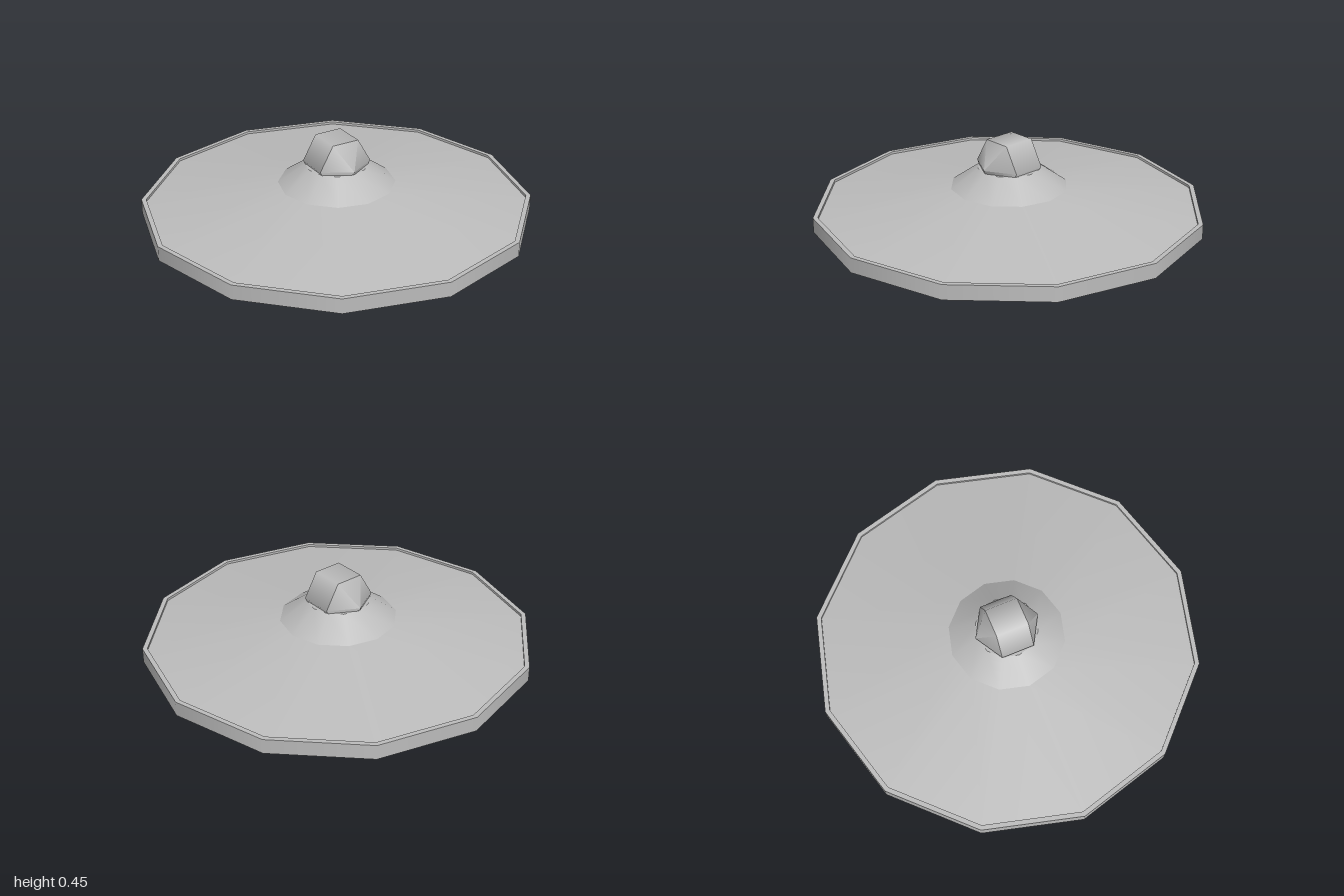
import * as THREE from 'three';
import { mergeGeometries } from 'three/addons/utils/BufferGeometryUtils.js';

// Turns each step of a profile [radius, height] on its own: smooth around, crisp between steps
function turned(profile, sides, start = 0) {
  const bands = [];
  for (let i = 0; i < profile.length - 1; i++) {
    const pts = [profile[i], profile[i + 1]].map(([r, y]) => new THREE.Vector2(r, y));
    bands.push(new THREE.LatheGeometry(pts, sides, start));
  }
  return mergeGeometries(bands);
}

export function createModel() {
  const group = new THREE.Group();
  const metal = new THREE.MeshStandardMaterial({ color: 0xbcbcbc });
  metal.name = 'grey metal';

  const add = (name, geometry) => {
    const mesh = new THREE.Mesh(geometry, metal);
    mesh.name = name;
    group.add(mesh);
    return mesh;
  };

  // Lid: flat underside, bevel, shallow top and steeper neck
  add('lidBody', turned([
    [0, 0], [0.92, 0], [0.975, 0.037], [0.975, 0.094], [0.3, 0.2], [0.16, 0.3], [0, 0.3],
  ], 12));

  // Raised band around the edge
  add('rim', turned([
    [0.975, 0.03], [1, 0.03], [1, 0.107], [0.975, 0.107], [0.975, 0.03],
  ], 12));

  // Six-sided knob with pointed ends, lying front to back
  const knob = add('knob', turned([
    [0, -0.17], [0.147, -0.085], [0.147, 0.085], [0, 0.17],
  ], 6, Math.PI / 2));
  knob.rotation.x = Math.PI / 2;
  knob.position.y = 0.318;

  return group;
}
